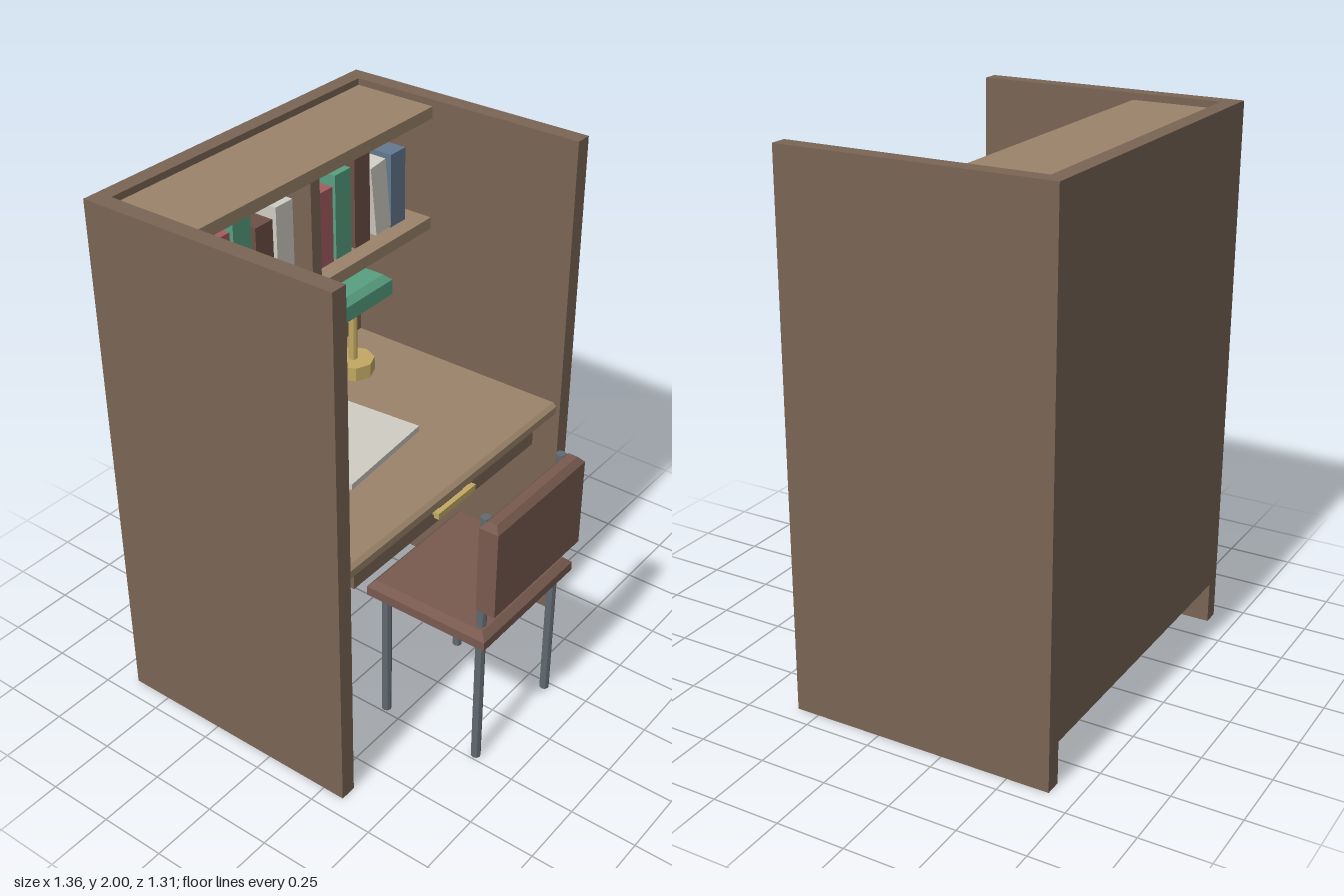
import * as THREE from 'three';

const mat = (color) => new THREE.MeshStandardMaterial({ color, flatShading: true });
const M = {
  carcass: mat(0x7a6555), shelf: mat(0x9b836a), chair: mat(0x785a4f), steel: mat(0x626a71),
  brass: mat(0xc2a963), green: mat(0x579f80), red: mat(0xa45c62), blue: mat(0x65788f),
  cream: mat(0xcfccc3), brown: mat(0x6d5046),
};

function add(parent, name, geometry, material) {
  const mesh = new THREE.Mesh(geometry, material);
  mesh.name = name;
  parent.add(mesh);
  return mesh;
}

// Box given by its limits on each axis
function box(parent, name, material, x0, x1, y0, y1, z0, z1) {
  const mesh = add(parent, name, new THREE.BoxGeometry(x1 - x0, y1 - y0, z1 - z0), material);
  mesh.position.set((x0 + x1) / 2, (y0 + y1) / 2, (z0 + z1) / 2);
  return mesh;
}

// Box whose top edges are bevelled: drop = bevel height, inset = bevel width
function bevelBox(parent, name, material, x0, x1, y0, y1, z0, z1, drop, inset) {
  const w = x1 - x0, h = y1 - y0, d = z1 - z0;
  const g = new THREE.BoxGeometry(w, h, d, 1, 2, 1);
  const p = g.attributes.position;
  for (let i = 0; i < p.count; i++) {
    const y = p.getY(i);
    if (Math.abs(y) < 1e-6) p.setY(i, h / 2 - drop);
    else if (y > 0) {
      p.setX(i, p.getX(i) - Math.sign(p.getX(i)) * inset);
      p.setZ(i, p.getZ(i) - Math.sign(p.getZ(i)) * inset);
    }
  }
  g.computeVertexNormals();
  const mesh = add(parent, name, g, material);
  mesh.position.set((x0 + x1) / 2, (y0 + y1) / 2, (z0 + z1) / 2);
  return mesh;
}

// Upright rod
function rod(parent, name, material, x, z, y0, y1, r, sides) {
  const mesh = add(parent, name, new THREE.CylinderGeometry(r, r, y1 - y0, sides), material);
  mesh.position.set(x, (y0 + y1) / 2, z);
  return mesh;
}

function createCarrel() {
  const g = new THREE.Group();
  g.name = 'studyCarrel';
  box(g, 'leftPanel', M.carcass, 0.62, 0.682, 0, 2, -0.655, 0.335);
  box(g, 'rightPanel', M.carcass, -0.682, -0.62, 0, 2, -0.655, 0.335);
  box(g, 'backPanel', M.carcass, -0.62, 0.62, 0.157, 2, -0.655, -0.595);
  box(g, 'upperShelf', M.shelf, -0.62, 0.62, 1.93, 1.975, -0.595, -0.264);
  box(g, 'lowerShelf', M.shelf, -0.62, 0.62, 1.5, 1.545, -0.595, -0.264);
  box(g, 'shelfDivider', M.carcass, -0.025, 0.022, 1.545, 1.93, -0.595, -0.29);
  bevelBox(g, 'desktop', M.shelf, -0.635, 0.635, 0.92, 0.962, -0.61, 0.32, 0.013, 0.015);

  // Drawer with a bar handle
  box(g, 'drawer', M.carcass, -0.535, 0.53, 0.815, 0.92, -0.25, 0.28);
  box(g, 'drawerHandle', M.brass, -0.11, 0.11, 0.86, 0.885, 0.295, 0.315);
  for (const x of [-0.09, 0.09]) box(g, 'handlePost', M.brass, x - 0.01, x + 0.01, 0.862, 0.883, 0.28, 0.297);
  return g;
}

function createBooks() {
  const g = new THREE.Group();
  g.name = 'books';
  const width = 0.085, floor = 1.545, zBack = -0.55, zFront = -0.33;
  // [centre x, height, material, lean]
  const books = [
    [-0.53, 0.283, M.blue], [-0.423, 0.318, M.red], [-0.322, 0.357, M.green],
    [-0.217, 0.283, M.brown], [-0.114, 0.318, M.cream], [0.094, 0.283, M.red],
    [0.194, 0.318, M.green], [0.3, 0.357, M.brown], [0.407, 0.272, M.cream, 0.115],
    [0.507, 0.283, M.blue],
  ];
  for (const [x, h, m, lean = 0] of books) {
    const b = box(g, 'book', m, x - width / 2, x + width / 2, floor, floor + h, zBack, zFront);
    b.rotation.z = lean;
    b.position.y += lean * width / 2;
  }
  return g;
}

function createLamp() {
  const g = new THREE.Group();
  g.name = 'deskLamp';
  rod(g, 'lampBase', M.brass, 0, 0, 0, 0.058, 0.082, 8);
  rod(g, 'lampStem', M.brass, 0, 0, 0.05, 0.31, 0.017, 8);
  bevelBox(g, 'lampShade', M.green, -0.138, 0.138, 0.298, 0.383, -0.08, 0.08, 0.024, 0.024);
  g.position.set(0.35, 0.96, -0.42);
  return g;
}

function createChair() {
  const g = new THREE.Group();
  g.name = 'chair';
  bevelBox(g, 'seat', M.chair, -0.277, 0.277, 0.55, 0.61, 0.13, 0.628, 0.025, 0.024);
  bevelBox(g, 'backrest', M.chair, -0.263, 0.263, 0.7, 1.064, 0.58, 0.655, 0.024, 0.02);
  for (const x of [-0.226, 0.226]) {
    rod(g, 'frontLeg', M.steel, x, 0.18, 0, 0.56, 0.018, 8);
    rod(g, 'rearPost', M.steel, x, 0.581, 0, 1.064, 0.018, 8);
  }
  return g;
}

export function createModel() {
  const model = new THREE.Group();
  model.name = 'studyDesk';
  model.add(createCarrel(), createBooks(), createLamp(), createChair());

  // Paper pad lying slightly askew on the desk
  const pad = box(model, 'paperPad', M.cream, -0.278, 0.153, 0.962, 0.985, -0.307, 0.043);
  pad.rotation.y = 0.078;
  pad.position.set(-0.0625, 0.9735, -0.132);
  return model;
}
